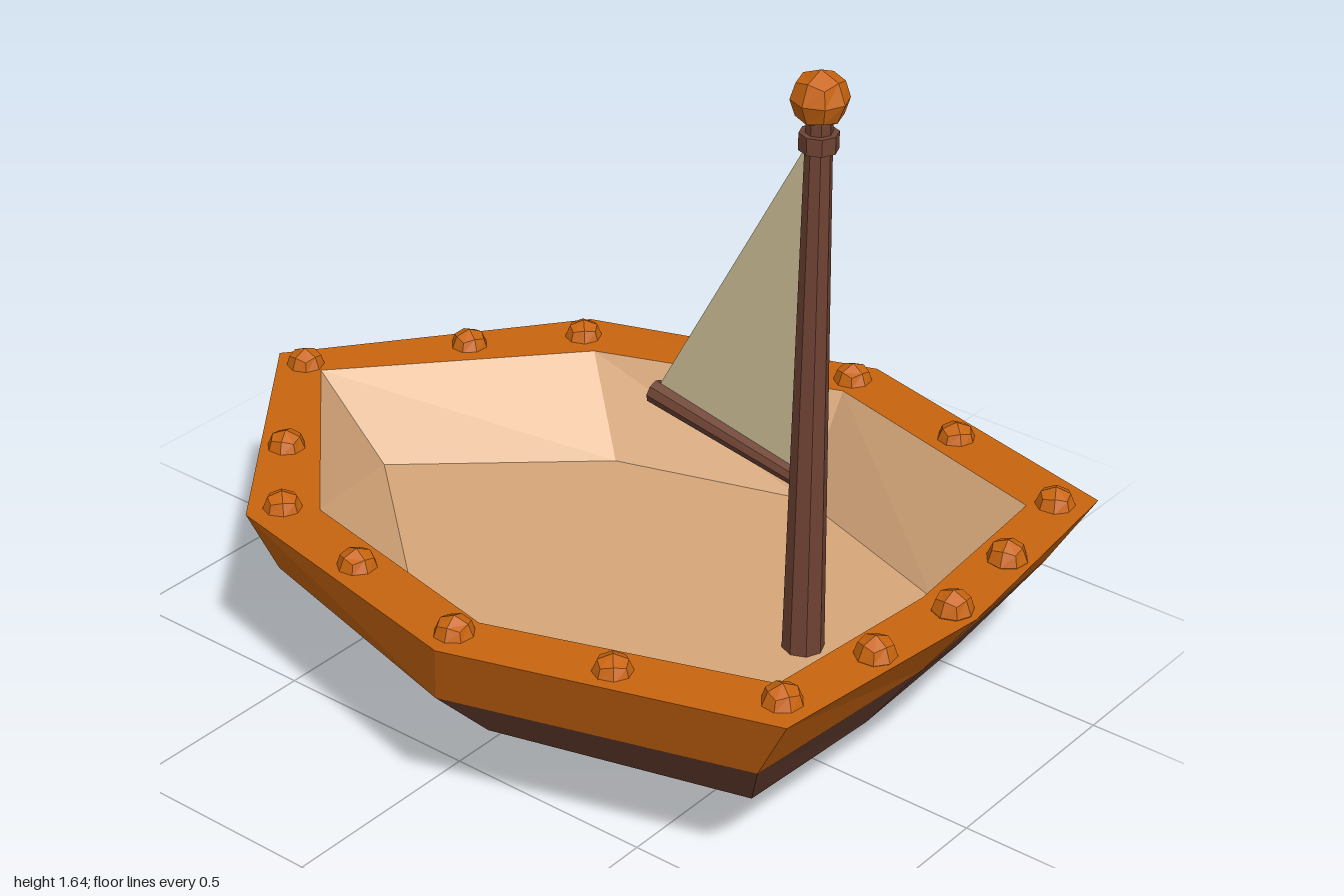
import * as THREE from 'three';

const paint = (name, color) => Object.assign(new THREE.MeshStandardMaterial({ color }), { name });

// Mirrors half a cross-section (bow to stern along +x) into a closed ring
function ring(half) {
  const pts = half.map(p => new THREE.Vector3(...p));
  const back = pts.slice(1, -1).reverse().map(p => new THREE.Vector3(-p.x, p.y, p.z));
  return [...pts, ...back];
}

// Faceted skin between consecutive rings
function skin(...rings) {
  const out = [];
  for (let r = 0; r < rings.length - 1; r++) {
    const a = rings[r], b = rings[r + 1], n = a.length;
    for (let i = 0; i < n; i++) {
      const j = (i + 1) % n;
      out.push(a[i], b[i], b[j], a[i], b[j], a[j]);
    }
  }
  const g = new THREE.BufferGeometry().setFromPoints(out);
  g.computeVertexNormals();
  return g;
}

// Gives every face its own flat normal
function facet(g) {
  const f = g.toNonIndexed();
  f.computeVertexNormals();
  return f;
}

// Faceted knob: a subdivided cube pushed out to a sphere
function knob(radius) {
  const g = new THREE.BoxGeometry(1, 1, 1, 2, 2, 2);
  const p = g.attributes.position, v = new THREE.Vector3();
  for (let i = 0; i < p.count; i++) {
    v.fromBufferAttribute(p, i).setLength(radius);
    p.setXYZ(i, v.x, v.y, v.z);
  }
  return facet(g);
}

export function createModel() {
  const model = new THREE.Group();
  const trim = paint('orange trim', 0xc9650f);
  const wood = paint('dark brown wood', 0x6e4333);
  const plank = paint('tan planks', 0xd6a679);
  const canvas = paint('cream canvas', 0xcdbf95);
  canvas.side = THREE.DoubleSide;

  const add = (name, geometry, material, x = 0, y = 0, z = 0) => {
    const m = new THREE.Mesh(geometry, material);
    m.name = name;
    m.position.set(x, y, z);
    model.add(m);
    return m;
  };

  // Hull cross-sections, keel to rim, then down the inside
  const keel = ring([[0, 0.012, -0.06], [0.11, 0.01, 0.02], [0.16, 0.006, 0.14], [0.12, 0.002, 0.31], [0, 0, 0.325]]);
  const bilge = ring([[0, 0.175, -0.85], [0.4, 0.175, -0.41], [0.55, 0.165, 0.13], [0.38, 0.155, 0.71], [0, 0.155, 0.73]]);
  const belt = ring([[0, 0.325, -0.95], [0.54, 0.325, -0.49], [0.725, 0.343, 0.14], [0.525, 0.35, 0.83], [0, 0.35, 0.87]]);
  const rim = ring([[0, 0.466, -1], [0.595, 0.472, -0.53], [0.777, 0.507, 0.19], [0.567, 0.525, 0.93], [0, 0.525, 0.995]]);
  const lip = ring([[0, 0.466, -0.865], [0.475, 0.472, -0.42], [0.64, 0.507, 0.19], [0.45, 0.525, 0.82], [0, 0.525, 0.86]]);
  const floor = ring([[0, 0.28, -0.67], [0.36, 0.28, -0.26], [0.5, 0.28, 0.19], [0.335, 0.28, 0.665], [0, 0.28, 0.675]]);
  const point = (y, z) => floor.map(() => new THREE.Vector3(0, y, z));

  add('hull', skin(point(0.005, 0.14), keel, bilge, belt), wood);
  add('rim', skin(belt, rim, lip), trim);
  add('interior', skin(lip, floor, point(0.28, 0.19)), plank);

  // Studs along the rim: x, y, z, mirrored
  const stud = knob(0.046);
  const studs = [
    [0, 0.462, -0.915], [0.315, 0.465, -0.675], [0.52, 0.468, -0.49], [0.612, 0.484, -0.18], [0.7, 0.503, 0.175],
    [0.612, 0.51, 0.525], [0.495, 0.522, 0.865], [0.24, 0.526, 0.91], [0, 0.527, 0.935],
  ];
  for (const [x, y, z] of studs) {
    for (const s of x ? [1, -1] : [1]) {
      add('rimStud', stud, trim, s * x, y, z).rotation.y = s * Math.atan2(x, z);
    }
  }

  // Mast with collar and top knob
  const mastZ = 0.557;
  add('mast', facet(new THREE.CylinderGeometry(0.028, 0.047, 1.27, 8)), wood, 0, 0.905, mastZ);
  add('mastCollar', facet(new THREE.CylinderGeometry(0.042, 0.042, 0.038, 8)), wood, 0, 1.485, mastZ);
  add('mastKnob', knob(0.062), trim, 0, 1.578, mastZ);

  // Boom rising from the mast toward the bow
  const from = new THREE.Vector3(0, 0.685, mastZ), to = new THREE.Vector3(0, 0.765, 0.14);
  const dir = to.clone().sub(from);
  const boom = add('boom', facet(new THREE.CylinderGeometry(0.027, 0.02, dir.length(), 8)), wood);
  boom.position.copy(from).lerp(to, 0.5);
  boom.quaternion.setFromUnitVectors(new THREE.Vector3(0, 1, 0), dir.normalize());

  // Triangular sail
  const sail = new THREE.BufferGeometry().setFromPoints([
    new THREE.Vector3(0, 1.48, 0.535), new THREE.Vector3(0, 0.69, 0.535), new THREE.Vector3(0, 0.775, 0.15),
  ]);
  sail.computeVertexNormals();
  add('sail', sail, canvas);

  return model;
}
